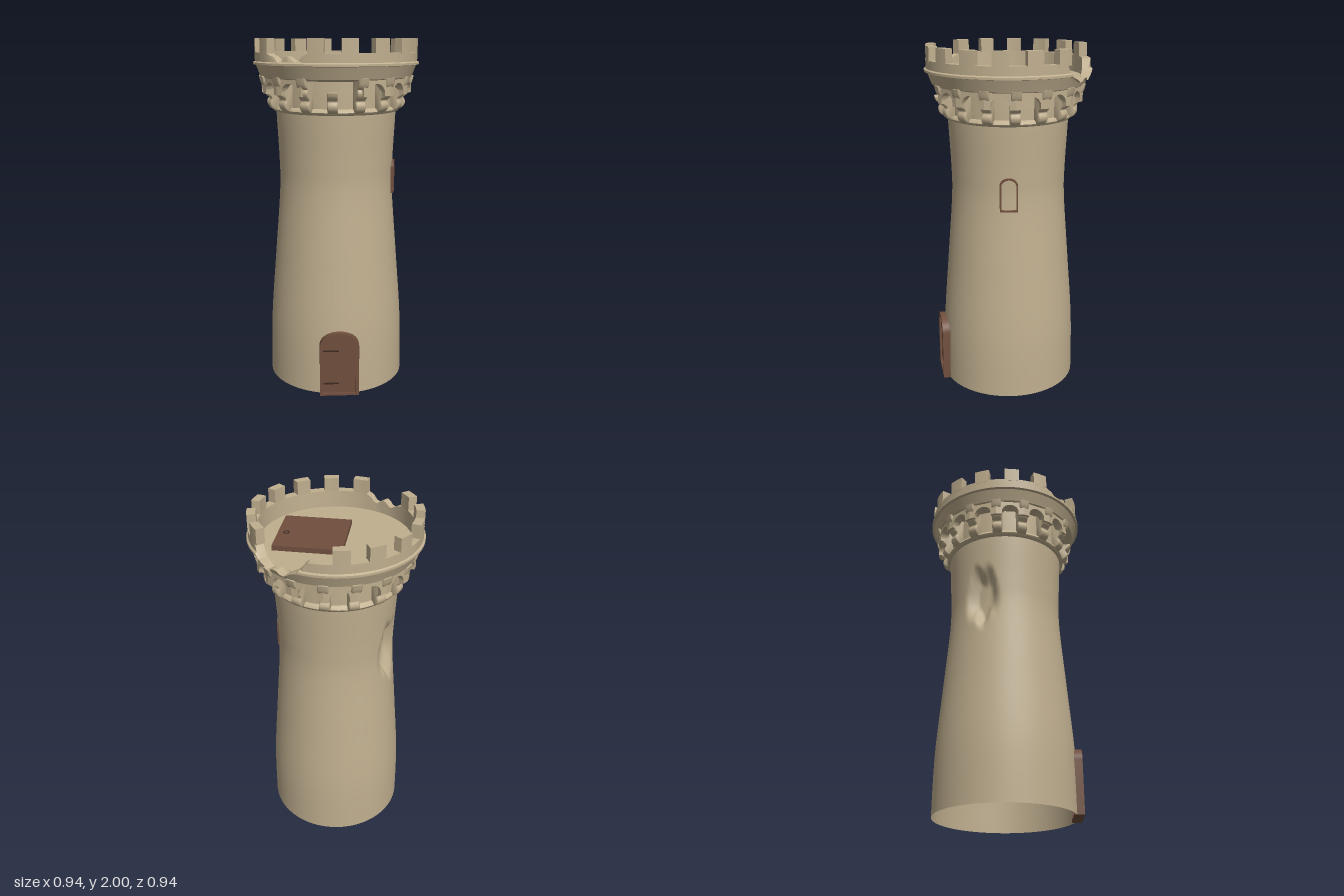
import * as THREE from 'three';
import { toCreasedNormals } from 'three/addons/utils/BufferGeometryUtils.js';

const rad = THREE.MathUtils.degToRad;
const smooth = THREE.MathUtils.smoothstep;
const mat = (name, color) => new THREE.MeshStandardMaterial({ name, color, side: THREE.DoubleSide });

export function createModel() {
  const stone = mat('stone', 0xc0af8f);
  const wood = mat('wood', 0x704f3e);
  const iron = mat('dark iron', 0x3d2a22);
  const tower = new THREE.Group();
  tower.name = 'tower';

  const add = (name, geo, material, parent = tower) => {
    const mesh = new THREE.Mesh(geo, material);
    mesh.name = name;
    parent.add(mesh);
    return mesh;
  };
  const pts = (list) => list.map(([x, y]) => new THREE.Vector2(x, y));
  // Group turned to face outward at an angle measured from the front towards +x
  const facing = (name, degrees) => {
    const g = new THREE.Group();
    g.name = name;
    g.rotation.y = rad(degrees);
    tower.add(g);
    return g;
  };
  // Move every vertex given its angle, radius and height
  const reshape = (geo, rule) => {
    const p = geo.attributes.position;
    for (let i = 0; i < p.count; i++) {
      const a = THREE.MathUtils.radToDeg(Math.atan2(p.getX(i), p.getZ(i)));
      const [r, y] = rule(a, Math.hypot(p.getX(i), p.getZ(i)), p.getY(i));
      p.setXYZ(i, r * Math.sin(rad(a)), y, r * Math.cos(rad(a)));
    }
    geo.computeVertexNormals();
    return geo;
  };

  // Flared shaft, open below, with a battered hollow on one side
  const shaftCurve = new THREE.SplineCurve(pts([[0.4, 0], [0.393, 0.35], [0.362, 0.75],
    [0.332, 1.13], [0.332, 1.32], [0.345, 1.6], [0.345, 1.79]]));
  const shaft = new THREE.LatheGeometry(shaftCurve.getPoints(90), 120);
  add('shaft', reshape(shaft, (a, r, y) => {
    const d = Math.hypot((a + 107) / 19, (y - 1.22) / 0.21 + 0.12 * Math.sin(a * 0.4));
    return [r - 0.055 * (1 - smooth(d, 0.45, 1)), y];
  }), stone);

  // Moulding under the corbels
  add('lowerMoulding', toCreasedNormals(new THREE.LatheGeometry(pts([[0.343, 1.595], [0.36, 1.6],
    [0.367, 1.612], [0.36, 1.626], [0.343, 1.632]]), 64), 0.9), stone);

  // Scrolled corbels; the front one is broken short
  const scroll = new THREE.SplineCurve(pts([[0.36, 1.61], [0.388, 1.625], [0.397, 1.65], [0.386, 1.675],
    [0.408, 1.695], [0.418, 1.718], [0.408, 1.738], [0.43, 1.752], [0.442, 1.79]])).getPoints(28);
  const corbelGeo = (top) => {
    const shape = new THREE.Shape([...scroll.filter((p) => p.y <= top), new THREE.Vector2(0.33, top),
      new THREE.Vector2(0.33, 1.61)]);
    const geo = new THREE.ExtrudeGeometry(shape, { depth: 0.04, bevelSize: 0.006,
      bevelThickness: 0.008, bevelSegments: 2 });
    geo.translate(-0.005, 0, -0.02);
    geo.rotateY(-Math.PI / 2);
    return toCreasedNormals(geo, 0.8);
  };
  const corbel = corbelGeo(1.79), shortCorbel = corbelGeo(1.715);
  for (let i = 0; i < 16; i++) {
    add('corbel', i ? corbel : shortCorbel, stone, facing('corbelMount', i * 22.5));
  }

  // Arches between corbels, lost on both sides of the broken one
  const arch = new THREE.Shape();
  arch.moveTo(-0.084, 1.7);
  arch.lineTo(-0.05, 1.7);
  arch.lineTo(-0.05, 1.715);
  arch.absarc(0, 1.715, 0.05, Math.PI, 0, true);
  arch.lineTo(0.05, 1.7);
  arch.lineTo(0.084, 1.7);
  arch.lineTo(0.084, 1.8);
  arch.lineTo(-0.084, 1.8);
  arch.closePath();
  const archGeo = toCreasedNormals(new THREE.ExtrudeGeometry(arch,
    { depth: 0.05, bevelEnabled: false, curveSegments: 10 }), 0.6);
  archGeo.translate(0, 0, 0.373);
  for (let i = 1; i < 15; i++) {
    add('arch', archGeo, stone, facing('archMount', i * 22.5 + 11.25));
  }

  // Cornice and parapet, breached at the back and chipped at the front
  const breach = (a) => {
    const back = smooth(a, 125, 135) * (1 - smooth(a, 158, 173));
    const front = smooth(a, -52, -44) * (1 - smooth(a, -24, -13));
    return 1.925 - back * (0.095 + 0.012 * Math.sin(a * 0.5)) - front * (0.032 + 0.014 * Math.sin(a * 0.45));
  };
  const crown = new THREE.LatheGeometry(pts([[0.34, 1.775], [0.415, 1.78], [0.432, 1.79], [0.447, 1.83],
    [0.457, 1.855], [0.472, 1.858], [0.472, 1.87], [0.462, 1.876], [0.462, 1.925], [0.415, 1.925],
    [0.41, 1.82]]), 128);
  add('parapet', toCreasedNormals(reshape(crown, (a, r, y) => {
    const top = breach(a);
    const cut = Math.max(0, y - top);
    return [r > 0.43 ? r - cut * 0.25 : r, Math.min(y, top)];
  }), 0.5), stone);

  // Merlons, skipping those fallen away
  const merlonShape = new THREE.Shape();
  merlonShape.absarc(0, 0, 0.463, rad(-5.4), rad(5.4), false);
  merlonShape.absarc(0, 0, 0.415, rad(5.4), rad(-5.4), true);
  merlonShape.closePath();
  const merlonGeo = new THREE.ExtrudeGeometry(merlonShape, { depth: 0.085, curveSegments: 3, bevelEnabled: false });
  merlonGeo.rotateX(-Math.PI / 2);
  merlonGeo.rotateY(-Math.PI / 2);
  merlonGeo.translate(0, 1.915, 0);
  const merlon = toCreasedNormals(merlonGeo, 0.5);
  for (let i = 0; i < 16; i++) {
    if ([6, 7, 14].includes(i)) continue;
    add('merlon', merlon, stone, facing('merlonMount', i * 22.5 + 12));
  }

  // Roof floor with trapdoor and pull ring
  const floor = new THREE.CircleGeometry(0.415, 64);
  floor.rotateX(-Math.PI / 2);
  add('roofFloor', floor, stone).position.y = 1.832;
  add('trapdoor', new THREE.BoxGeometry(0.368, 0.03, 0.366), wood).position.set(0.125, 1.845, 0.002);
  const pull = add('pullRing', new THREE.TorusGeometry(0.015, 0.003, 6, 20), iron);
  pull.rotation.x = Math.PI / 2;
  pull.position.set(0.263, 1.861, -0.022);

  // Arched outline: straight sides and a curved head
  const arched = (Type, w, y0, ySide, yTop) => {
    const s = new Type();
    s.moveTo(-w, y0);
    s.lineTo(w, y0);
    s.lineTo(w, ySide);
    s.absellipse(0, ySide, w, yTop - ySide, 0, Math.PI, false);
    s.lineTo(-w, y0);
    return s;
  };
  const frameGeo = (outer, hole, depth) => {
    outer.holes.push(hole);
    return toCreasedNormals(new THREE.ExtrudeGeometry(outer, { depth, bevelEnabled: false, curveSegments: 12 }), 0.6);
  };

  // Front door: frame, leaf and strap hinges
  const door = facing('door', 5.5);
  add('doorFrame', frameGeo(arched(THREE.Shape, 0.112, 0, 0.3, 0.38),
    arched(THREE.Path, 0.094, 0.012, 0.295, 0.362), 0.055), wood, door).position.z = 0.37;
  add('doorLeaf', new THREE.ExtrudeGeometry(arched(THREE.Shape, 0.096, 0.01, 0.295, 0.364),
    { depth: 0.012, bevelEnabled: false }), wood, door).position.z = 0.398;
  for (const y of [0.07, 0.27]) {
    add('hinge', new THREE.BoxGeometry(0.09, 0.008, 0.006), iron, door).position.set(-0.048, y, 0.412);
  }

  // Side window frame
  const window = facing('window', 85);
  add('windowFrame', frameGeo(arched(THREE.Shape, 0.05, 1.122, 1.27, 1.313),
    arched(THREE.Path, 0.041, 1.131, 1.267, 1.303), 0.025), wood, window).position.z = 0.318;

  return tower;
}
